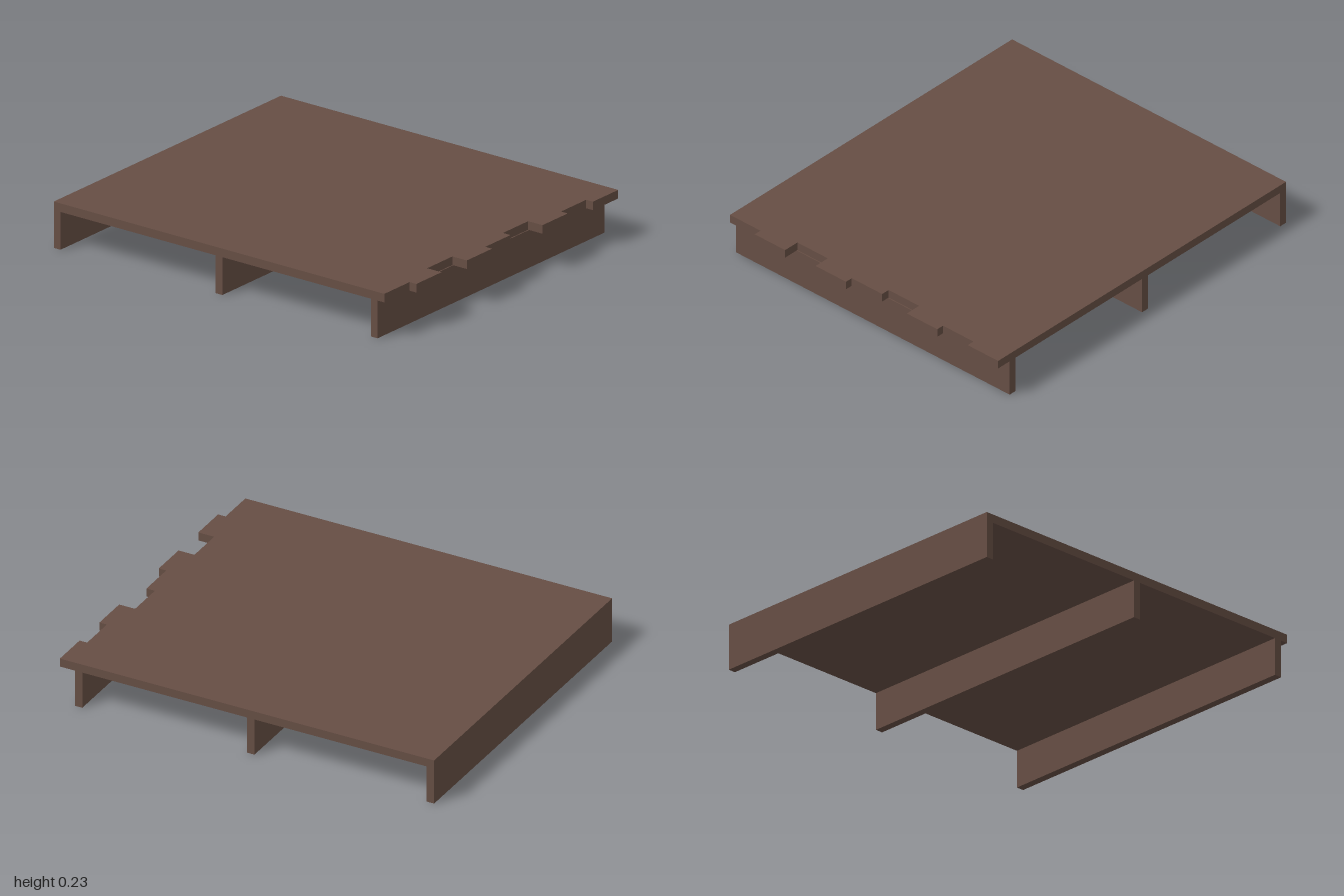
import * as THREE from 'three';

export function createModel() {
  const model = new THREE.Group();
  const wood = new THREE.MeshStandardMaterial({ color: 0x664e44 });
  wood.name = 'dark brown wood';

  const halfWidth = 0.87, back = -1;
  const joistHeight = 0.19, joistDepth = 0.04, deckThickness = 0.043;

  // Deck: nine planks side by side, broken off at different lengths in front
  const plankEnds = [0.96, 1, 0.915, 1, 0.96, 0.915, 1, 0.96, 1];
  const plankWidth = (2 * halfWidth) / plankEnds.length;
  const outline = new THREE.Shape();
  outline.moveTo(halfWidth, -back);
  outline.lineTo(-halfWidth, -back);
  plankEnds.forEach((end, i) => {
    const x = -halfWidth + i * plankWidth;
    outline.lineTo(x, -end);
    outline.lineTo(x + plankWidth, -end);
  });
  outline.closePath();
  const deckGeometry = new THREE.ExtrudeGeometry(outline, { depth: deckThickness, bevelEnabled: false });
  deckGeometry.rotateX(-Math.PI / 2);
  const deck = new THREE.Mesh(deckGeometry, wood);
  deck.name = 'deck';
  deck.position.y = joistHeight;
  model.add(deck);

  // Joists: three boards on edge across the full width
  const joistGeometry = new THREE.BoxGeometry(2 * halfWidth, joistHeight, joistDepth);
  const joists = { frontJoist: 0.9, middleJoist: -0.02, backJoist: -0.98 };
  for (const [name, z] of Object.entries(joists)) {
    const joist = new THREE.Mesh(joistGeometry, wood);
    joist.name = name;
    joist.position.set(0, joistHeight / 2, z);
    model.add(joist);
  }

  return model;
}
